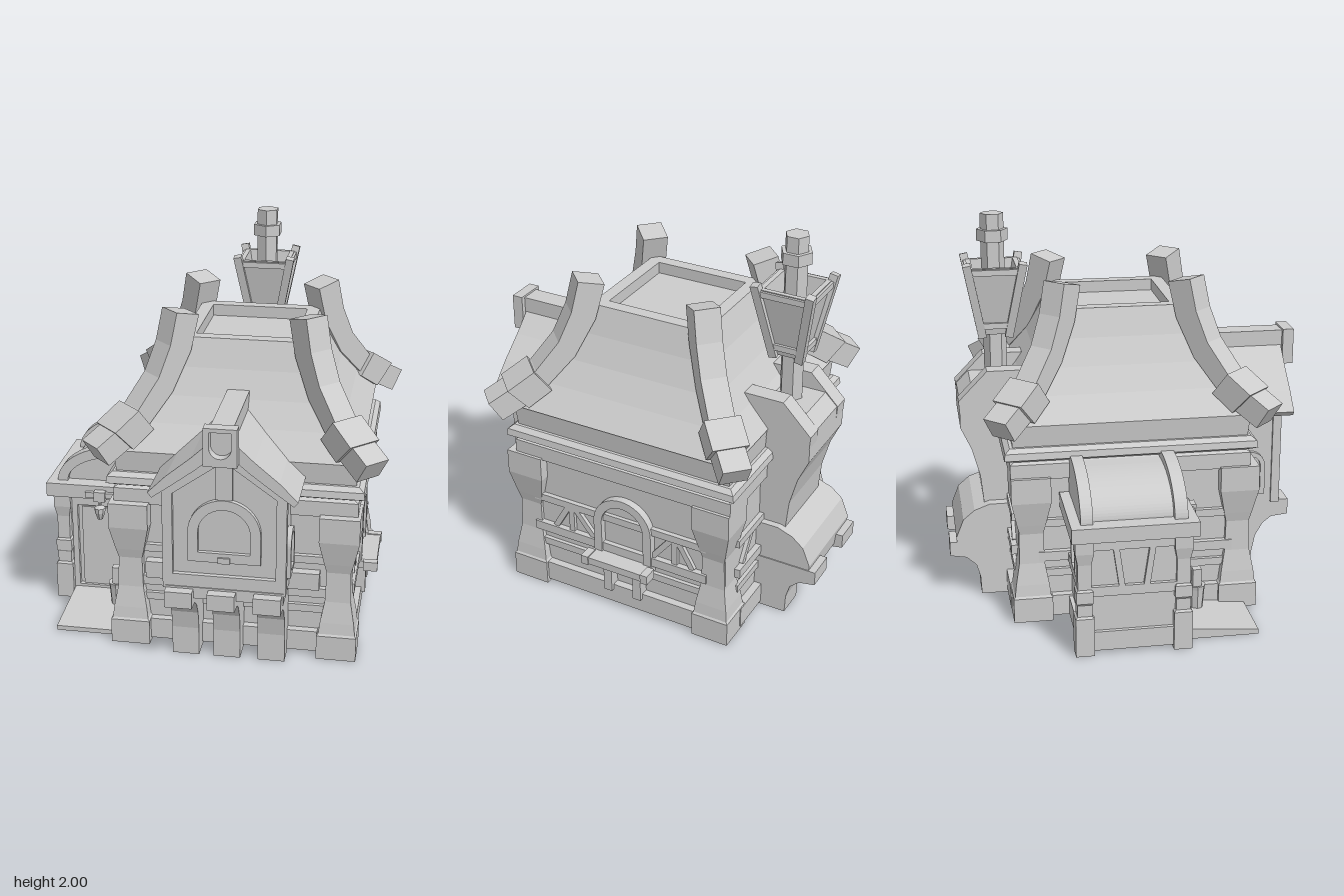
import * as THREE from 'three';

const CX = 0.16, CZ = -0.025; // centre of the main house
const BX = 0.148; // centre of the front bay

export function createModel() {
  const root = new THREE.Group();
  root.name = 'house';
  const mat = new THREE.MeshStandardMaterial({ color: 0xcccccc, flatShading: true });

  const add = (name, geo, parent = root) => {
    const m = new THREE.Mesh(geo, mat);
    m.name = name;
    parent.add(m);
    return m;
  };
  // box given by its limits
  const box = (name, x0, x1, y0, y1, z0, z1, parent) => {
    const m = add(name, new THREE.BoxGeometry(x1 - x0, y1 - y0, z1 - z0), parent);
    m.position.set((x0 + x1) / 2, (y0 + y1) / 2, (z0 + z1) / 2);
    return m;
  };
  // square solid from [half width, y] pairs
  const square = (name, prof, x, z, parent) => {
    const pts = prof.map(([r, y]) => new THREE.Vector2(r * Math.SQRT2, y));
    const m = add(name, new THREE.LatheGeometry(pts, 4, Math.PI / 4), parent);
    m.position.set(x, 0, z);
    return m;
  };
  const poly = (pts) => new THREE.Shape(pts.map(([x, y]) => new THREE.Vector2(x, y)));
  const extrude = (shape, depth) =>
    new THREE.ExtrudeGeometry(shape, { depth, bevelEnabled: false, curveSegments: 10 });
  // (x, y) outline along z
  const prismZ = (name, shape, z0, z1, parent) =>
    add(name, extrude(shape, z1 - z0).translate(0, 0, z0), parent);
  // (z, y) outline along x
  const prismX = (name, pts, x0, x1, parent) =>
    add(name, extrude(poly(pts), x1 - x0).rotateY(-Math.PI / 2).translate(x1, 0, 0), parent);
  // straight square beam between two points
  const beam = (name, a, b, w, parent) => {
    const p = new THREE.Vector3(...a), q = new THREE.Vector3(...b), d = q.clone().sub(p);
    const m = add(name, new THREE.BoxGeometry(w, d.length(), w), parent);
    m.position.copy(p).add(q).multiplyScalar(0.5);
    m.quaternion.setFromUnitVectors(new THREE.Vector3(0, 1, 0), d.normalize());
    return m;
  };
  const arch = (r, y0, y1) => {
    const s = new THREE.Shape();
    s.moveTo(-r, y0);
    s.lineTo(r, y0);
    s.lineTo(r, y1 - r);
    s.absarc(0, y1 - r, r, 0, Math.PI, false);
    s.closePath();
    return s;
  };
  // arched frame with a pane set back in it
  const archWindow = (name, r, h, t, depth, x, y, z, turn = 0) => {
    const g = new THREE.Group();
    g.name = name;
    const frame = arch(r, 0, h);
    frame.holes.push(arch(r - t, t, h - t));
    prismZ('windowFrame', frame, 0, depth, g);
    prismZ('windowPane', arch(r - t, t, h - t), 0, depth * 0.3, g);
    g.position.set(x, y, z);
    g.rotation.y = turn;
    root.add(g);
  };

  // Main walls, open underneath
  box('frontWall', -0.42, 0.74, 0.02, 0.8, 0.51, 0.55);
  box('backWall', -0.42, 0.74, 0.02, 0.8, -0.6, -0.56);
  box('rightWall', 0.69, 0.73, 0.02, 0.8, -0.58, 0.53);
  box('leftWall', -0.41, -0.37, 0.02, 0.8, -0.58, 0.53);

  // Corner pillars
  for (const x of [-0.37, 0.685]) for (const z of [0.53, -0.535])
    square('cornerPillar', [[0, 0], [0.1, 0], [0.1, 0.13], [0.092, 0.14], [0.085, 0.2], [0.065, 0.31],
      [0.06, 0.47], [0.072, 0.52], [0.1, 0.65], [0.1, 0.78], [0, 0.78]], x, z);

  // Horizontal timbers on the walls
  for (const [y0, y1, t] of [[0.02, 0.13, 0.04], [0.23, 0.27, 0.02], [0.32, 0.37, 0.03], [0.505, 0.545, 0.025]]) {
    box('sideTimber', 0.72, 0.73 + t, y0, y1, -0.5, 0.5);
    box('sideTimber', -0.41 - t, -0.4, y0, y1, -0.5, 0.5);
    box('frontTimber', -0.33, 0.64, y0, y1, 0.54, 0.55 + t);
    box('backTimber', -0.33, 0.64, y0, y1, -0.6 - t, -0.59);
  }
  // Posts and diagonal braces beside the right window
  for (const s of [1, -1]) {
    const z = (d) => -0.02 + s * d;
    beam('wallPost', [0.735, 0.37, z(0.3)], [0.735, 0.51, z(0.3)], 0.03);
    beam('wallBrace', [0.735, 0.37, z(0.17)], [0.735, 0.51, z(0.28)], 0.03);
    beam('wallBrace', [0.735, 0.37, z(0.4)], [0.735, 0.51, z(0.32)], 0.03);
    beam('backBrace', [CX + s * 0.42, 0.37, -0.605], [CX + s * 0.32, 0.51, -0.605], 0.03);
  }
  archWindow('rightWindow', 0.165, 0.39, 0.045, 0.05, 0.72, 0.275, -0.03, Math.PI / 2);
  box('windowShelf', 0.73, 0.85, 0.28, 0.32, -0.2, 0.145);
  for (const z of [0.05, -0.12])
    prismX('shelfBracket', [[z - 0.023, 0.1], [z + 0.023, 0.1], [z + 0.023, 0.28], [z - 0.023, 0.28]], 0.72, 0.79);
  for (const z of [0.145, -0.2]) box('shelfEnd', 0.78, 0.855, 0.275, 0.325, z - 0.02, z + 0.02);

  // Cornice and flared roof with a sunken flat top
  square('cornice', [[0.5, 0.77], [0.61, 0.77], [0.61, 0.85], [0.59, 0.86], [0.64, 0.885], [0.635, 0.92],
    [0.61, 0.94], [0.595, 0.94], [0.605, 1.05], [0.5, 1.05]], CX, CZ);
  square('roof', [[0.61, 1.05], [0.51, 1.17], [0.43, 1.29], [0.365, 1.42], [0.315, 1.56],
    [0.25, 1.56], [0.25, 1.5], [0, 1.5]], CX, CZ);

  // Curved ridge horns on the four roof corners
  for (let i = 0; i < 4; i++) {
    const g = new THREE.Group();
    g.name = 'ridgeHorn';
    prismZ('hornBeam', poly([[0.38, 1.68], [0.43, 1.5], [0.54, 1.31], [0.68, 1.17], [0.82, 1.08],
      [0.88, 1.16], [0.74, 1.26], [0.62, 1.4], [0.55, 1.55], [0.51, 1.71]]), -0.065, 0.065, g);
    prismZ('hornCollar', poly([[0.67, 1.15], [0.79, 1.07], [0.89, 1.18], [0.755, 1.265]]), -0.09, 0.09, g);
    prismZ('hornTip', poly([[0.79, 1.08], [0.92, 1.01], [0.985, 1.115], [0.86, 1.185]]), -0.07, 0.07, g);
    g.position.set(CX, 0, -0.015);
    g.rotation.y = Math.PI / 4 + (i * Math.PI) / 2;
    root.add(g);
  }

  // Front bay: walls, trim, window, roof and ridge
  const gable = (w, y0, ys, yp) => [[BX - w, y0], [BX + w, y0], [BX + w, ys], [BX, yp], [BX - w, ys]];
  prismZ('bayWall', poly(gable(0.29, 0.45, 0.97, 1.19)), 0.35, 0.8);
  const trim = poly(gable(0.302, 0.445, 0.97, 1.2));
  trim.holes.push(new THREE.Path(poly(gable(0.252, 0.525, 0.95, 1.13)).getPoints()));
  prismZ('bayTrim', trim, 0.78, 0.825);
  box('bayPost', BX - 0.04, BX + 0.04, 0.93, 1.18, 0.79, 0.82);
  archWindow('bayWindow', 0.178, 0.33, 0.05, 0.03, BX, 0.6, 0.795);
  box('bayWindowSill', BX - 0.03, BX + 0.03, 0.6, 0.63, 0.8, 0.835);
  for (const s of [1, -1]) {
    archWindow('baySideWindow', 0.08, 0.24, 0.025, 0.03, BX + s * 0.285, 0.5, 0.66, (s * Math.PI) / 2);
    const slope = [[0, 1.21], [0.13, 1.1], [0.25, 1.01], [0.34, 0.945], [0.36, 0.97], [0.27, 1.06], [0.15, 1.16], [0, 1.3]];
    prismZ('bayRoof', poly(slope.map(([x, y]) => [BX + s * x, y])), 0.3, 0.875);
  }
  box('bayRidge', BX - 0.055, BX + 0.055, 1.18, 1.33, 0.33, 0.89);
  const cap = poly([[BX - 0.08, 1.15], [BX + 0.08, 1.15], [BX + 0.08, 1.34], [BX - 0.08, 1.34]]);
  const hole = arch(0.052, -0.075, 0.055).getPoints().map((p) => new THREE.Vector2(BX + p.x, 1.245 - p.y));
  cap.holes.push(new THREE.Path(hole));
  prismZ('ridgeCap', cap, 0.88, 0.938);
  // Brackets carrying the bay
  for (const x of [-0.07, 0.14, 0.365])
    prismX('bayBracket', [[0.5, 0], [0.685, 0], [0.685, 0.15], [0.705, 0.25], [0.745, 0.32], [0.79, 0.355],
      [0.88, 0.365], [0.88, 0.45], [0.5, 0.45]], x - 0.068, x + 0.068);
  box('bayFloor', -0.14, 0.44, 0.4, 0.46, 0.52, 0.83);
  box('bayBeam', -0.29, 0.59, 0.37, 0.46, 0.53, 0.6);

  // Back chimney: corbels, hood, stack
  for (const x of [-0.025, 0.33])
    prismX('chimneyCorbel', [[-0.56, 0], [-0.775, 0], [-0.78, 0.1], [-0.8, 0.17], [-0.85, 0.215], [-0.935, 0.23],
      [-0.935, 0.305], [-0.56, 0.305]], x - 0.075, x + 0.075);
  prismX('chimneyHood', [[-0.56, 0.24], [-0.89, 0.24], [-0.9, 0.33], [-0.86, 0.43], [-0.8, 0.48], [-0.72, 0.51],
    [-0.56, 0.51]], -0.1, 0.4);
  const stack = [[-0.5, 0.45], [-0.74, 0.45], [-0.76, 0.65], [-0.8, 0.8], [-0.855, 0.92], [-0.855, 1.065]];
  prismX('chimneyStack', [...stack, [-0.79, 1.13], [-0.5, 1.13]], -0.045, 0.365);
  for (const x of [-0.05, 0.28])
    prismX('stackCheek', [[-0.5, 1.0], [-0.855, 1.0], [-0.86, 1.065], [-0.71, 1.22], [-0.5, 1.22]], x, x + 0.09);

  // Chimney crate and hexagonal pipe
  const PX = 0.145, PZ = -0.65;
  const tube = (name, r, y0, y1) =>
    add(name, new THREE.CylinderGeometry(r, r, y1 - y0, 6)).position.set(PX, (y0 + y1) / 2, PZ);
  tube('chimneyPipe', 0.06, 1.1, 2);
  tube('pipeCollar', 0.08, 1.86, 1.92);
  square('chimneyCrate', [[0, 1.38], [0.07, 1.38], [0.135, 1.74], [0.11, 1.74], [0.09, 1.62], [0, 1.62]], PX, PZ);
  const at = (k, y, r) => [PX + Math.cos(k) * r * Math.SQRT2, y, PZ + Math.sin(k) * r * Math.SQRT2];
  for (let i = 0; i < 4; i++) {
    const k = Math.PI / 4 + (i * Math.PI) / 2, n = k + Math.PI / 2;
    beam('cratePost', at(k, 1.37, 0.068), at(k, 1.765, 0.143), 0.042);
    for (const [y, r] of [[1.72, 0.132], [1.43, 0.082]]) beam('crateRail', at(k, y, r), at(n, y, r), 0.03);
  }

  // Left annex: walls, pillars, cornice
  box('annexSideWall', -0.84, -0.81, 0.02, 0.62, -0.33, 0.17);
  box('annexFrontWall', -0.83, -0.4, 0.02, 0.62, 0.12, 0.15);
  box('annexBackWall', -0.83, -0.4, 0.02, 0.62, -0.33, -0.3);
  for (const z of [0.16, -0.325])
    square('annexPillar', [[0, 0], [0.046, 0], [0.046, 0.2], [0.036, 0.21], [0.036, 0.27], [0.042, 0.28], [0.042, 0.34],
      [0.033, 0.35], [0.033, 0.48], [0.045, 0.54], [0.045, 0.62], [0, 0.62]], -0.83, z);
  box('annexCornice', -0.905, -0.42, 0.61, 0.685, -0.39, 0.23);
  for (const [y0, y1] of [[0.02, 0.12], [0.31, 0.36], [0.55, 0.61]]) {
    box('annexSideTimber', -0.86, -0.83, y0, y1, -0.3, 0.14);
    box('annexBackTimber', -0.8, -0.42, y0, y1, -0.35, -0.32);
  }
  for (const s of [1, -1]) {
    beam('annexBrace', [-0.845, 0.35, -0.08 + s * 0.06], [-0.845, 0.56, -0.08 + s * 0.09], 0.03);
    beam('annexBackBrace', [-0.61 + s * 0.06, 0.35, -0.335], [-0.61 + s * 0.09, 0.56, -0.335], 0.03);
  }
  // Annex barrel roof with raised end arches
  const barrel = (rx, ry) => {
    const s = new THREE.Shape();
    s.moveTo(-0.4, 0.68);
    s.lineTo(-0.4, 0.68 + ry);
    s.lineTo(-0.5, 0.68 + ry);
    s.absellipse(-0.5, 0.68, rx, ry, Math.PI / 2, Math.PI, false);
    s.closePath();
    return s;
  };
  prismZ('barrelRoof', barrel(0.32, 0.175), -0.32, 0.15);
  prismZ('barrelArch', barrel(0.355, 0.215), -0.34, -0.28);
  const rim = barrel(0.355, 0.215);
  rim.holes.push(new THREE.Path(barrel(0.29, 0.15).getPoints().map((p) => new THREE.Vector2(p.x - 0.01, p.y + 0.005))));
  prismZ('barrelArch', rim, 0.115, 0.18);

  // Annex door, step, lantern and plant pot
  const frame = poly([[-0.785, 0.05], [-0.46, 0.05], [-0.46, 0.6], [-0.785, 0.6]]);
  frame.holes.push(poly([[-0.755, 0.07], [-0.49, 0.07], [-0.49, 0.545], [-0.755, 0.545]]));
  prismZ('doorFrame', frame, 0.145, 0.175);
  box('door', -0.735, -0.5, 0.07, 0.53, 0.14, 0.16);
  prismX('doorStep', [[0.1, 0], [0.565, 0], [0.565, 0.025], [0.2, 0.055], [0.1, 0.055]], -0.78, -0.42);
  box('lanternBar', -0.69, -0.53, 0.625, 0.655, 0.225, 0.25);
  box('lanternPlate', -0.64, -0.58, 0.61, 0.665, 0.22, 0.265);
  const spin = (name, prof, x, z) =>
    add(name, new THREE.LatheGeometry(prof.map(([r, y]) => new THREE.Vector2(r, y)), 8)).position.set(x, 0, z);
  spin('lantern', [[0, 0.505], [0.014, 0.51], [0.028, 0.55], [0.03, 0.575], [0.01, 0.59], [0.008, 0.62]], -0.61, 0.255);
  spin('plantPot', [[0, 0.04], [0.035, 0.04], [0.044, 0.15], [0.048, 0.17], [0.036, 0.17], [0, 0.15]], -0.515, 0.3);
  beam('plant', [-0.515, 0.15, 0.3], [-0.515, 0.26, 0.3], 0.045);

  return root;
}
